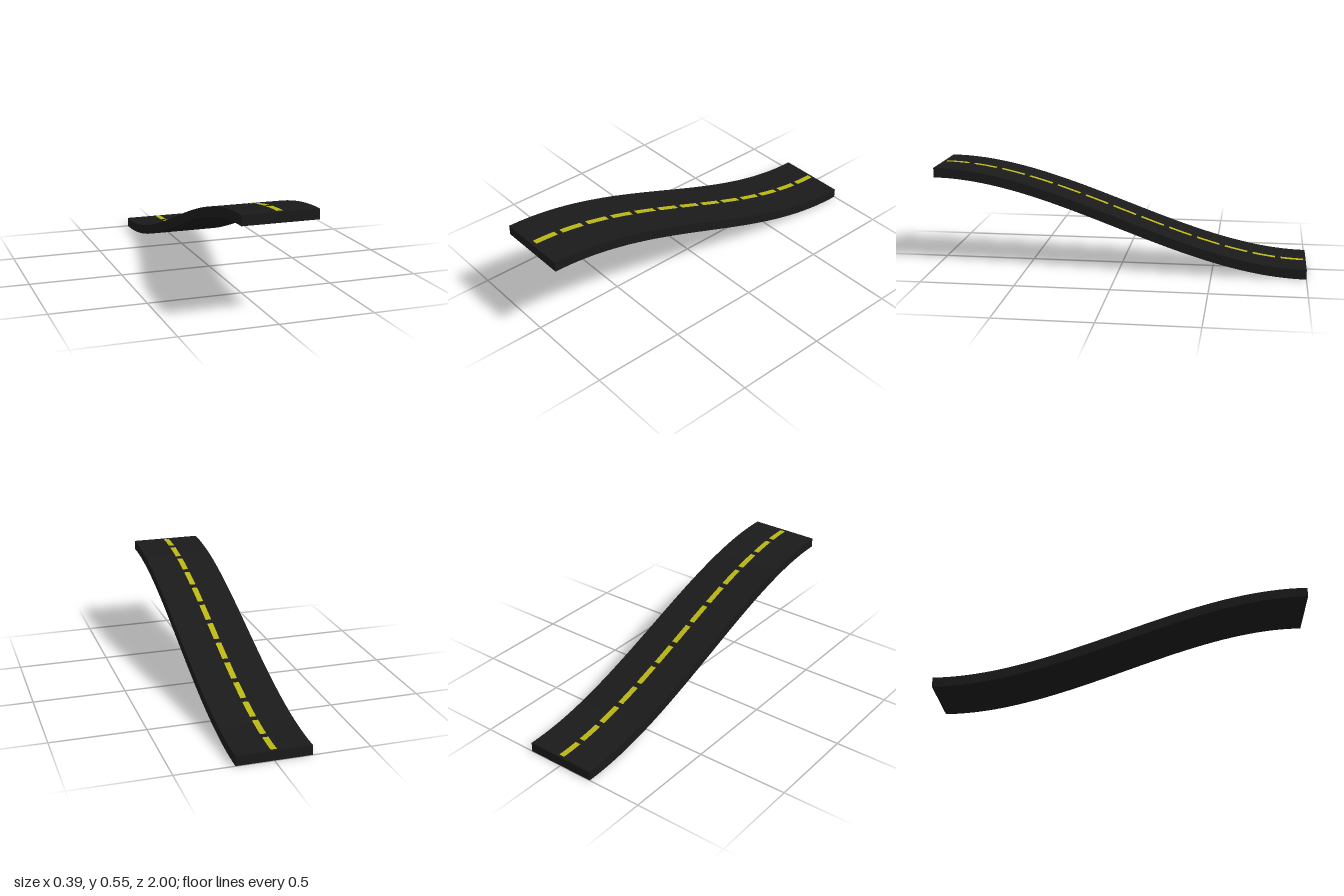
import * as THREE from 'three';

const WIDTH = 0.39, THICK = 0.052, RISE = 0.493;

// Bends a flat strip lying along z onto the S-shaped slope, keeping thickness square to the road.
function bend(geometry) {
  const p = geometry.attributes.position;
  for (let i = 0; i < p.count; i++) {
    const h = p.getY(i), z = p.getZ(i), t = (z + 1) / 2;
    const y = THICK / 2 + RISE * t * t * (3 - 2 * t);
    const slope = RISE * 3 * t * (1 - t);
    const n = Math.hypot(1, slope);
    p.setXYZ(i, p.getX(i), y + h / n, z - h * slope / n);
  }
  geometry.computeVertexNormals();
  return geometry;
}

export function createModel() {
  const group = new THREE.Group();
  group.name = 'rampRoad';

  // Asphalt slab
  const asphalt = new THREE.MeshStandardMaterial({ color: 0x1a1a1a });
  const slab = new THREE.Mesh(bend(new THREE.BoxGeometry(WIDTH, THICK, 2, 1, 1, 64)), asphalt);
  slab.name = 'roadSlab';
  group.add(slab);

  // Dashed centre line, just above the road surface
  const paint = new THREE.MeshStandardMaterial({ color: 0xb8b414 });
  const line = new THREE.Group();
  line.name = 'centreLine';
  for (let i = 0; i < 13; i++) {
    const dash = new THREE.PlaneGeometry(0.032, 0.124, 1, 6);
    dash.rotateX(-Math.PI / 2);
    dash.translate(0, THICK / 2 + 0.0015, -0.925 + i * 0.1537);
    const mesh = new THREE.Mesh(bend(dash), paint);
    mesh.name = 'lineDash';
    line.add(mesh);
  }
  group.add(line);
  return group;
}
